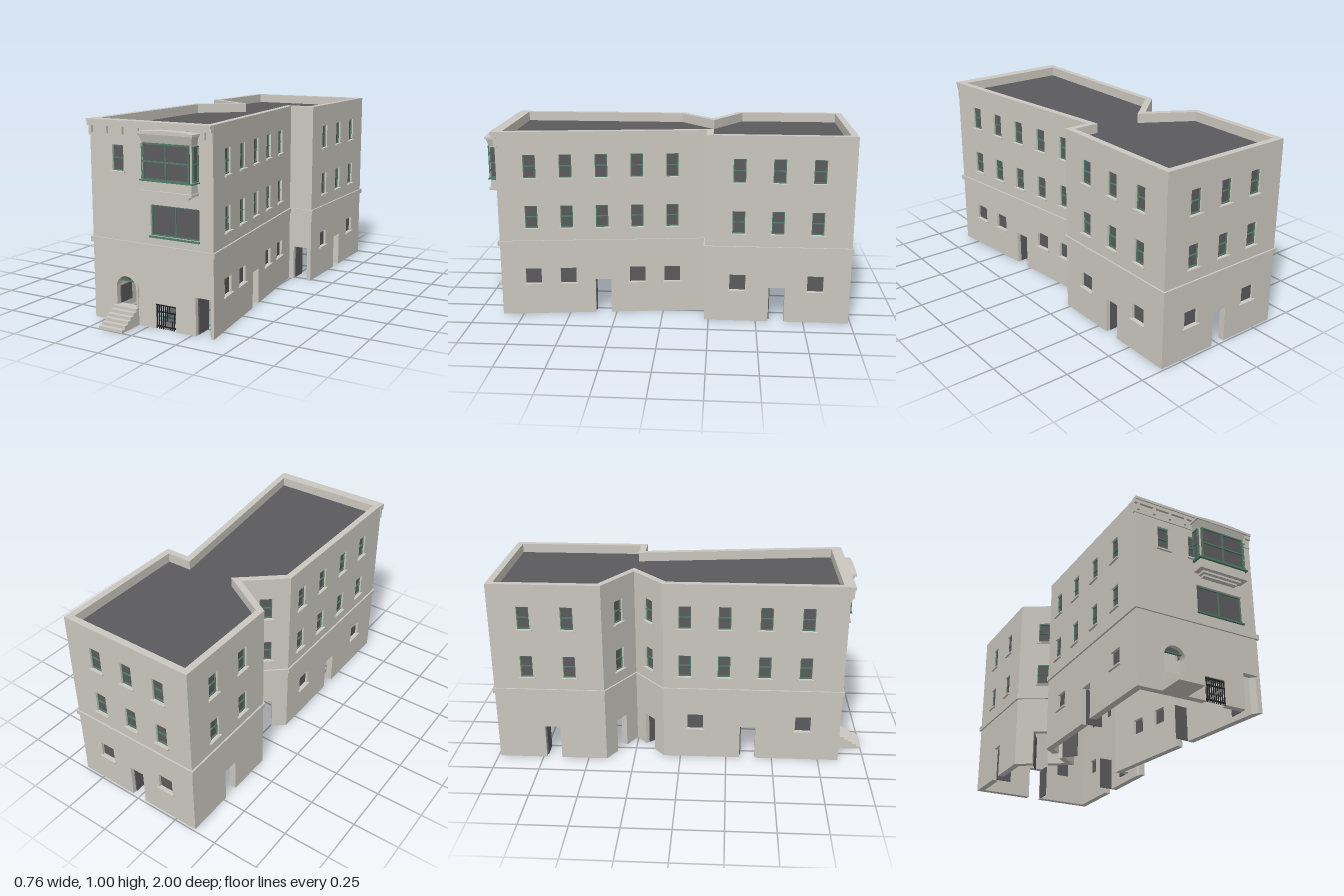
import * as THREE from 'three';

const mat = (name, color, extra = {}) => Object.assign(new THREE.MeshStandardMaterial({ color, ...extra }), { name });
const stone = mat('stone', 0xcac7bf);
const dark = mat('dark slate and glass', 0x5b5b5d);
const green = mat('green frame', 0x4f7d66);
const iron = mat('black iron', 0x242426);

const T = 0.035; // wall thickness
const H = 1; // wall height

// Footprint corners [x, z], starting at the front left of the picture plane
const plan = [
  [-0.32, 0.86], [0.37, 0.86], [0.235, -0.228], [0.37, -0.228], [0.37, -0.988],
  [-0.37, -0.988], [-0.37, -0.4], [-0.13, -0.255], [-0.32, -0.09],
];
const N = plan.length;
const heading = (i) => {
  const p = plan[(i + N) % N], q = plan[(i + 1) % N];
  return Math.atan2(p[1] - q[1], q[0] - p[0]);
};
const turn = (i) => { // signed turn at corner i
  const a = heading((i + N) % N) - heading((i + N - 1) % N);
  return Math.atan2(Math.sin(a), Math.cos(a));
};

// Footprint moved outward by d, with mitred corners
function outline(d) {
  return plan.map(([x, z], i) => {
    const a = heading((i + N - 1) % N), b = heading(i);
    const nx = Math.sin(a) + Math.sin(b), nz = Math.cos(a) + Math.cos(b);
    const k = d / (1 + Math.cos(a - b));
    return new THREE.Vector2(x + nx * k, -(z + nz * k));
  });
}

function add(parent, name, geo, material) {
  const m = new THREE.Mesh(geo, material);
  m.name = name;
  parent.add(m);
  return m;
}

// Box given by its lower and upper limits
function box(parent, name, material, x0, x1, y0, y1, z0, z1) {
  const m = add(parent, name, new THREE.BoxGeometry(x1 - x0, y1 - y0, z1 - z0), material);
  m.position.set((x0 + x1) / 2, (y0 + y1) / 2, (z0 + z1) / 2);
  return m;
}

// Glass with a frame, mullions and rails; z is the glass face
function sash(parent, x0, x1, y0, y1, z, cols, rows, b = 0.005) {
  box(parent, 'windowGlass', dark, x0, x1, y0, y1, z - 0.004, z);
  for (let i = 0; i <= cols; i++) {
    const x = x0 + b / 2 + ((x1 - x0 - b) * i) / cols;
    box(parent, 'windowUpright', green, x - b / 2, x + b / 2, y0, y1, z, z + 0.006);
  }
  for (let i = 0; i <= rows; i++) {
    const y = y0 + b / 2 + ((y1 - y0 - b) * i) / rows;
    box(parent, 'windowRail', green, x0, x1, y - b / 2, y + b / 2, z, z + 0.007);
  }
}

// Opening types, each as [half width, bottom, top]
const KIND = {
  upper: [0.0325, 0.755, 0.88],
  middle: [0.0325, 0.483, 0.605],
  low: [0.042, 0.172, 0.258],
  door: [0.042, 0, 0.19],
  gate: [0.0575, 0, 0.125],
  wide: [0.135, 0.46, 0.61],
  arch: [0.058, 0.085, 0.18],
};

// One wall with real openings; list holds [kind, world coordinate along axis]
function wall(root, i, axis, list) {
  const p = plan[i], q = plan[(i + 1) % N];
  const L = Math.hypot(q[0] - p[0], q[1] - p[1]);
  const g = new THREE.Group();
  g.name = 'wall' + i;
  g.position.set(p[0], 0, p[1]);
  g.rotation.y = heading(i);
  root.add(g);

  const items = list
    .map(([kind, c]) => ({ kind, s: ((c - p[axis]) / (q[axis] - p[axis])) * L }))
    .sort((a, b) => a.s - b.s);
  const shape = new THREE.Shape().moveTo(0, 0);
  for (const { kind, s } of items) {
    const [w, y0, y1] = KIND[kind];
    if (y0 === 0) {
      shape.lineTo(s - w, 0).lineTo(s - w, y1).lineTo(s + w, y1).lineTo(s + w, 0);
    } else {
      const hole = new THREE.Path().moveTo(s - w, y0).lineTo(s - w, y1);
      if (kind === 'arch') hole.absarc(s, y1, w, Math.PI, 0, true);
      else hole.lineTo(s + w, y1);
      hole.lineTo(s + w, y0).lineTo(s - w, y0);
      shape.holes.push(hole);
    }
  }
  shape.lineTo(L, 0).lineTo(L, H).lineTo(0, H).lineTo(0, 0);
  const geo = new THREE.ExtrudeGeometry(shape, { depth: T, bevelEnabled: false, curveSegments: 14 });
  geo.translate(0, 0, -T);
  // Mitre the inner ends so neighbouring walls meet
  const pos = geo.attributes.position;
  for (let k = 0; k < pos.count; k++) {
    if (pos.getZ(k) > -T / 2) continue;
    const x = pos.getX(k);
    if (x < 1e-5) pos.setX(k, x + T * Math.tan(turn(i) / 2));
    else if (x > L - 1e-5) pos.setX(k, x - T * Math.tan(turn(i + 1) / 2));
  }
  geo.computeVertexNormals();
  add(g, 'wallPanel', geo, stone);

  for (const { kind, s } of items) {
    const [w, y0, y1] = KIND[kind];
    if (kind === 'door' || kind === 'arch') { // door leaf standing open inward
      box(g, 'openDoor', dark, s - w, s - w + 0.006, y0 + 0.003, y1 - 0.004, -T - 0.075, -0.022);
    } else if (kind === 'gate') {
      for (let k = 0; k <= 9; k++) {
        const x = s - w + 0.003 + (k / 9) * (2 * w - 0.006);
        box(g, 'gateBar', iron, x - 0.002, x + 0.002, 0, y1, -0.01, -0.005);
      }
      for (const y of [0.012, 0.085, 0.119])
        box(g, 'gateRail', iron, s - w, s + w, y - 0.002, y + 0.003, -0.012, -0.004);
      for (const y of [0.055, 0.121])
        box(g, 'gateCrossFrame', green, s - w, s + w, y - 0.004, y + 0.004, -0.03, -0.024);
    } else {
      if (kind === 'low') box(g, 'windowGlass', dark, s - w, s + w, y0, y1, -0.018, -0.014);
      else sash(g, s - w, s + w, y0, y1, -0.016, kind === 'wide' ? 2 : 1, kind === 'wide' ? 1 : 2);
      const e = kind === 'wide' ? 0.003 : 0.01;
      box(g, 'windowSill', kind === 'wide' ? green : stone, s - w - e, s + w + e, y0 - 0.008, y0, -0.012, 0.011);
    }
  }
}

// Upright extrusion of a plan shape
function slab(parent, name, material, shape, y, h) {
  const geo = new THREE.ExtrudeGeometry(shape, { depth: h, bevelEnabled: false });
  geo.rotateX(-Math.PI / 2);
  add(parent, name, geo, material).position.y = y;
}

function bayWindow(root) {
  const g = new THREE.Group();
  g.name = 'bayWindow';
  root.add(g);
  const zb = 0.855, zf = 0.912;
  box(g, 'bayBody', stone, 0.02, 0.288, 0.688, 0.915, zb, zf);
  sash(g, 0.028, 0.28, 0.738, 0.91, zf + 0.003, 2, 2, 0.007);
  box(g, 'baySill', green, 0.008, 0.3, 0.732, 0.738, zb, zf + 0.012);
  // side lights
  for (const [x, sign] of [[0.288, 1], [0.02, -1]]) {
    const side = new THREE.Group();
    side.name = 'baySideLight';
    side.position.set(x, 0, (zb + zf) / 2 + 0.002);
    side.rotation.y = (sign * Math.PI) / 2;
    g.add(side);
    sash(side, -0.022, 0.022, 0.742, 0.905, 0.003, 1, 2);
  }
  // flared hood
  const flare = new THREE.BoxGeometry(1, 1, 1);
  const pos = flare.attributes.position;
  for (let k = 0; k < pos.count; k++) {
    const e = pos.getY(k) > 0 ? 0.012 : 0;
    pos.setXYZ(k, pos.getX(k) > 0 ? 0.288 + e : 0.02 - e, pos.getY(k) > 0 ? 0.95 : 0.91, pos.getZ(k) > 0 ? zf + e : zb);
  }
  flare.computeVertexNormals();
  add(g, 'bayHood', flare, stone);
  const cap = new THREE.Shape().moveTo(0, 0.95).lineTo(0.305, 0.95).lineTo(0.305, 0.96);
  cap.lineTo(0.28, 0.962).quadraticCurveTo(0.152, 0.976, 0.025, 0.962).lineTo(0, 0.96);
  const capGeo = new THREE.ExtrudeGeometry(cap, { depth: 0.075, bevelEnabled: false });
  add(g, 'bayCap', capGeo, stone).position.z = zb;
  // stepped base
  for (const [x0, x1, y0, y1, z] of [
    [0.013, 0.294, 0.675, 0.688, 0.922], [0.04, 0.268, 0.664, 0.675, 0.902], [0.055, 0.253, 0.654, 0.664, 0.885],
  ]) box(g, 'bayBase', stone, x0, x1, y0, y1, zb, z);
}

function entrance(root) {
  const g = new THREE.Group();
  g.name = 'entrance';
  root.add(g);
  const cx = -0.122, spring = 0.18;
  // arched surround
  const trim = new THREE.Shape().moveTo(cx - 0.069, 0.075).lineTo(cx - 0.069, spring);
  trim.absarc(cx, spring, 0.069, Math.PI, 0, true).lineTo(cx + 0.069, 0.075).lineTo(cx + 0.058, 0.075);
  trim.lineTo(cx + 0.058, spring).absarc(cx, spring, 0.058, 0, Math.PI, false).lineTo(cx - 0.058, 0.075);
  add(g, 'archSurround', new THREE.ExtrudeGeometry(trim, { depth: 0.008, bevelEnabled: false, curveSegments: 14 }), stone).position.z = 0.858;
  // fanlight and transom
  const a = Math.asin(0.03 / 0.058);
  const fan = new THREE.Shape().absarc(cx, spring, 0.058, a, Math.PI - a, false);
  add(g, 'fanlight', new THREE.ExtrudeGeometry(fan, { depth: 0.004, bevelEnabled: false }), dark).position.z = 0.838;
  box(g, 'transom', green, cx - 0.05, cx + 0.05, 0.207, 0.213, 0.836, 0.848);
  // steps
  for (let k = 0; k < 6; k++)
    box(g, 'step', stone, -0.192, -0.054, k * 0.0145, (k + 1) * 0.0145, 0.855, 1 - k * 0.0235);
}

export function createModel() {
  const root = new THREE.Group();
  root.name = 'building';

  const stack = (list) => list.flatMap((c) => [['upper', c], ['middle', c]]);
  const kind = (k, list) => list.map((c) => [k, c]);

  wall(root, 0, 0, [...kind('upper', [-0.158, 0.02]), ['wide', 0.16], ['arch', -0.122], ['gate', 0.1025], ['door', 0.313]]);
  wall(root, 1, 1, [...stack([0.69, 0.505, 0.32, 0.135, -0.05]), ...kind('low', [0.69, 0.505, 0.135, -0.05]), ['door', 0.32]]);
  wall(root, 2, 0, [['door', 0.305]]);
  wall(root, 3, 1, [...stack([-0.4, -0.603, -0.807]), ...kind('low', [-0.4, -0.807]), ['door', -0.607]]);
  wall(root, 4, 0, [...stack([0.193, 0, -0.193]), ...kind('low', [0.193, -0.193]), ['door', 0]]);
  wall(root, 5, 1, [...stack([-0.806, -0.58]), ['door', -0.69]]);
  wall(root, 6, 0, [...stack([-0.25]), ['door', -0.25]]);
  wall(root, 7, 0, [...stack([-0.225]), ['door', -0.225]]);
  wall(root, 8, 1, [...stack([0.024, 0.23, 0.445, 0.66]), ...kind('low', [0.08, 0.66]), ['door', 0.365]]);

  // Flat roof behind the parapet
  slab(root, 'roof', dark, new THREE.Shape(outline(-T + 0.004)), 0.94, 0.01);

  // String course around the whole building
  const ring = new THREE.Shape(outline(0.009));
  ring.holes.push(new THREE.Path(outline(-0.01)));
  slab(root, 'stringCourse', stone, ring, 0.39, 0.026);

  // Front cornice with brackets
  for (const [y0, y1, d] of [[0.92, 0.968, 0.005], [0.968, 0.986, 0.018], [0.986, 1, 0.024]])
    box(root, 'cornice', stone, -0.325, 0.37, y0, y1, 0.85, 0.86 + d);
  for (let k = 0; k < 8; k++) {
    const x = -0.305 + k * 0.0907;
    box(root, 'corniceBracket', stone, x - 0.006, x + 0.006, 0.933, 0.968, 0.86, 0.878);
  }

  bayWindow(root);
  entrance(root);
  return root;
}
